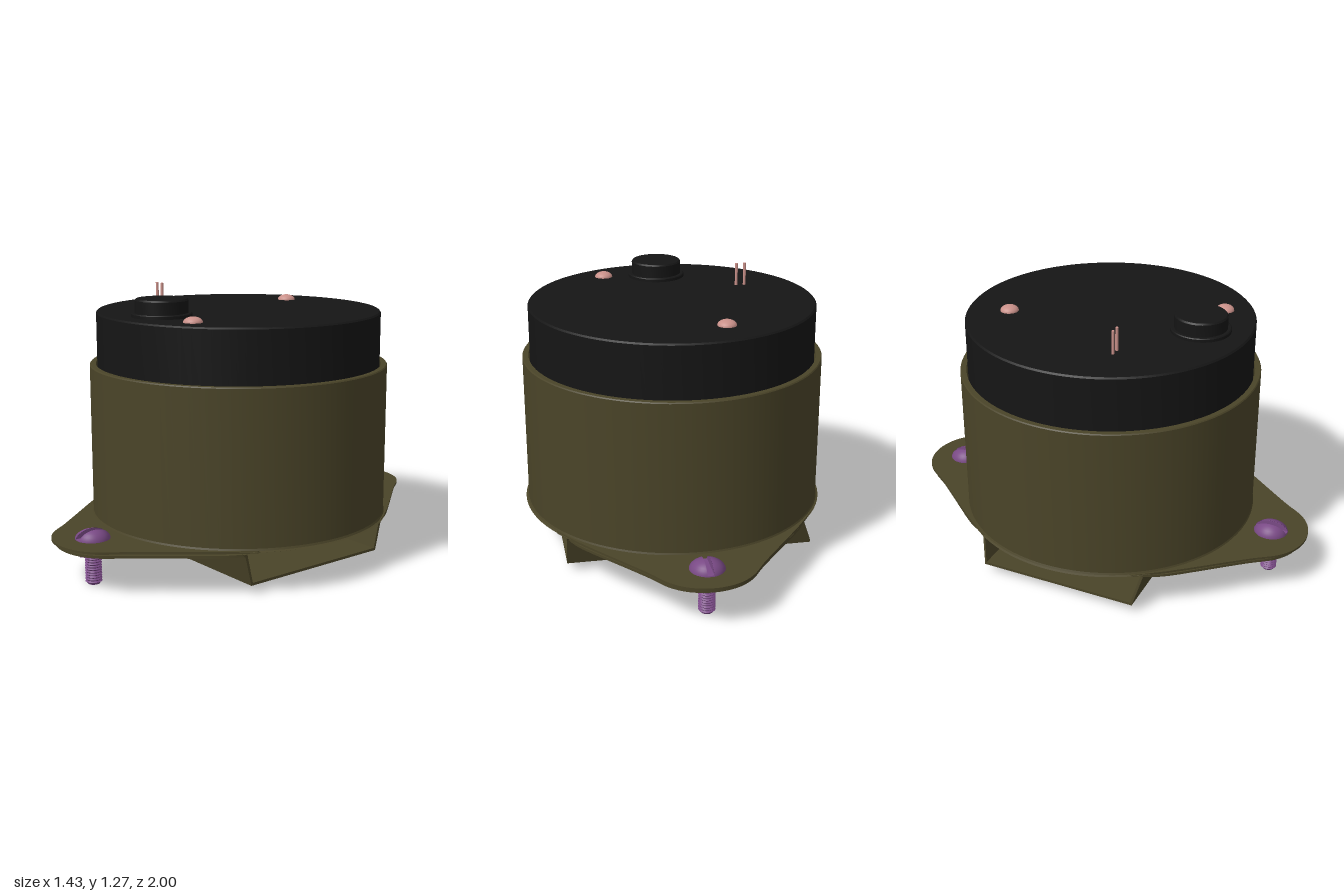
import * as THREE from 'three';
import { toCreasedNormals } from 'three/addons/utils/BufferGeometryUtils.js';

const material = (color) => new THREE.MeshStandardMaterial({ color, side: THREE.DoubleSide });
const olive = material(0x4a4428);
const black = material(0x151515);
const copper = material(0xc99089);
const purple = material(0x7a4a86);

function add(parent, name, geometry, mat, x = 0, y = 0, z = 0) {
  const mesh = new THREE.Mesh(geometry, mat);
  mesh.name = name;
  mesh.position.set(x, y, z);
  parent.add(mesh);
  return mesh;
}

// Turned part from [radius, height] pairs, listed bottom to top
function turned(points, segments = 32) {
  const profile = points.map(([r, y]) => new THREE.Vector2(r, y));
  return toCreasedNormals(new THREE.LatheGeometry(profile, segments), 0.5);
}

// Flat plate in the xz plane, its top face at y = 0
function plate(shape, thickness) {
  const geometry = new THREE.ExtrudeGeometry(shape, { depth: thickness, bevelEnabled: false, curveSegments: 24 });
  return toCreasedNormals(geometry.rotateX(Math.PI / 2), 0.5);
}

// Rounded tip of the mounting ears, from one side to the other
function earOutline(baseX, baseZ, scale = 1) {
  const side = [[baseX, baseZ], [0.5, 0.52], [0.33, 0.73], [0.25, 0.83], [0.18, 0.925], [0.1, 0.98]];
  const all = [...side, [0, 1], ...side.map(([x, z]) => [-x, z]).reverse()];
  return new THREE.SplineCurve(all.map(([x, z]) => new THREE.Vector2(x, z * scale))).getPoints(48);
}

// Dome screw with slot, hex nut and threaded shank
function createScrew() {
  const screw = new THREE.Group();
  screw.name = 'mountingScrew';
  add(screw, 'headBase', turned([[0, 0.2], [0.08, 0.2], [0.08, 0.206], [0.077, 0.215], [0, 0.215]]), purple);

  for (const turn of [0, Math.PI]) {
    const half = new THREE.Group();
    half.name = 'headHalf';
    half.rotation.y = turn;
    const dome = new THREE.SphereGeometry(0.08, 20, 8, Math.PI / 2, Math.PI, 0, Math.PI / 2);
    const p = dome.attributes.position;
    // Trim the half dome at the slot wall
    for (let i = 0; i < p.count; i++) p.setXYZ(i, Math.max(p.getX(i), 0.015), p.getY(i) * 0.57, p.getZ(i));
    add(half, 'dome', dome, purple, 0, 0.205, 0);
    const wall = new THREE.CircleGeometry(0.079, 20, 0, Math.PI).scale(1, 0.56, 1).rotateY(-Math.PI / 2);
    add(half, 'slotWall', wall, purple, 0.015, 0.205, 0);
    screw.add(half);
  }

  const nut = new THREE.CylinderGeometry(0.07, 0.07, 0.042, 6);
  add(screw, 'nut', toCreasedNormals(nut, 0.5), purple, 0, 0.156, 0);
  const thread = [[0, 0], [0.028, 0], [0.032, 0.008]];
  for (let y = 0.012; y < 0.13; y += 0.012) thread.push([0.038, y], [0.032, y + 0.006]);
  thread.push([0.037, 0.135], [0.037, 0.2]);
  add(screw, 'shank', turned(thread, 20), purple);
  return screw;
}

export function createModel() {
  const model = new THREE.Group();
  model.name = 'roundHousing';

  // Housing cup and inner cover
  add(model, 'housing', turned([
    [0, 0.2], [0.7, 0.2], [0.7, 0.915], [0.696, 0.92], [0.672, 0.92], [0.668, 0.9], [0.668, 0.85],
  ], 96), olive);
  add(model, 'housingFillet', turned([[0.713, 0.205], [0.704, 0.209], [0.7, 0.218]], 96), olive);
  add(model, 'cover', turned([
    [0.665, 0.85], [0.665, 1.158], [0.658, 1.165], [0, 1.165],
  ], 96), black);

  // Upper mounting plate with two ears
  const ear = earOutline(0.6, 0.38);
  const outline = [...ear, ...ear.map((v) => new THREE.Vector2(-v.x, -v.y))];
  add(model, 'mountingPlate', plate(new THREE.Shape(outline), 0.01), olive, 0, 0.21, 0);

  // Lower bracket: two ears joined by a dropped channel
  for (const turn of [0, Math.PI]) {
    const flange = plate(new THREE.Shape(earOutline(0.555, 0.415, 0.98)), 0.012);
    add(model, 'bracketEar', flange, olive, 0, 0.19, 0).rotation.y = turn;
  }
  const outer = [[0.42, 0.19], [0.413, 0.178], [0.38, 0.042]];
  const inner = [[0.372, 0.054], [0.403, 0.19]];
  const mirror = (list) => list.map(([z, y]) => [-z, y]).reverse();
  const section = [...outer, ...mirror(outer), ...mirror(inner), ...inner];
  const channel = new THREE.ExtrudeGeometry(
    new THREE.Shape(section.map(([z, y]) => new THREE.Vector2(z, y))), { depth: 1, bevelEnabled: false });
  channel.rotateY(Math.PI / 2);
  // Square end on one side, flared end on the other
  const p = channel.attributes.position;
  for (let i = 0; i < p.count; i++) {
    p.setX(i, p.getX(i) > 0.5 ? 0.56 : p.getY(i) < 0.1 ? -0.6 : -0.55);
  }
  add(model, 'bracketChannel', toCreasedNormals(channel, 0.2), olive);

  // Mounting screws
  for (const z of [-0.83, 0.83]) {
    const screw = createScrew();
    screw.position.z = z;
    model.add(screw);
  }

  // Round button on its collar
  add(model, 'button', turned([
    [0.137, 1.16], [0.137, 1.178], [0.133, 1.182], [0.12, 1.182], [0.12, 1.238], [0.114, 1.245], [0, 1.245],
  ], 48), black, 0, 0, 0.44);

  // Rivets and contact pins on the cover
  for (const [x, z] of [[-0.16, -0.44], [0.26, 0.46]]) {
    const rivet = new THREE.SphereGeometry(0.043, 24, 8, 0, Math.PI * 2, 0, Math.PI / 2).scale(1, 0.6, 1);
    add(model, 'rivet', rivet, copper, x, 1.165, z);
  }
  for (const x of [-0.39, -0.35]) {
    add(model, 'contactPin', new THREE.CylinderGeometry(0.007, 0.007, 0.11, 12), copper, x, 1.217, 0.19);
  }
  return model;
}
